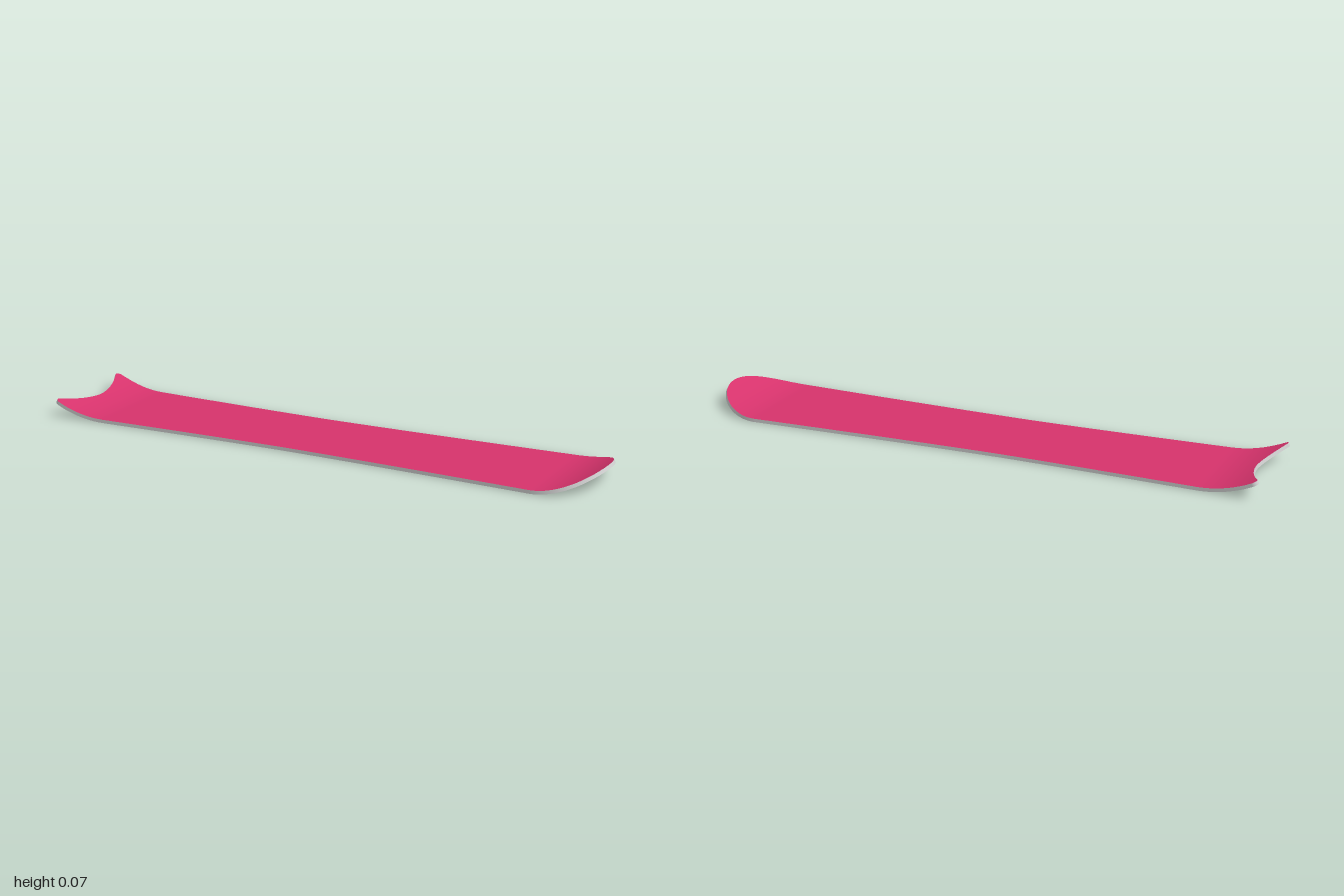
import * as THREE from 'three';

const ROWS = 96;                  // strips across the width
const TAIL = 10, MID = 28, NOSE = 10; // segments along the length
const COLS = TAIL + MID + NOSE;
const THICK = 0.012;

// Half width: narrow waist, widest at both ends
function halfWidth(x) {
  const t = Math.min(1, x > -0.1 ? (x + 0.1) / 0.9 : (-0.1 - x) / 0.85);
  return 0.175 + 0.025 * Math.pow(t, 1.4);
}

// Swallow-shaped tail end with rounded tips
function tailEnd(v) {
  const z = Math.abs(v) * 0.2;
  if (z < 0.177) return -0.944 - 0.054 * Math.pow(z / 0.177, 1.7);
  return -0.984 - Math.sqrt(Math.max(0, 0.016 ** 2 - (z - 0.184) ** 2));
}

// Height and slope of the base: flat centre, upturned ends
function rocker(x) {
  const s = x > 0.8 ? (x - 0.8) / 0.2 : x < -0.8 ? (x + 0.8) / 0.2 : 0;
  const rise = s > 0 ? 0.06 : 0.05;
  return { y: rise * s * s, slope: 2 * rise * s / 0.2 };
}

// Point on the board: column i from tail to nose, row j across, on base or deck
function boardPoint(i, j, offset) {
  const v = Math.sin((j / ROWS - 0.5) * Math.PI);
  let x;
  if (i <= TAIL) x = THREE.MathUtils.lerp(tailEnd(v), -0.8, i / TAIL);
  else if (i <= TAIL + MID) x = THREE.MathUtils.lerp(-0.8, 0.8, (i - TAIL) / MID);
  else x = 0.8 + 0.2 * Math.sqrt(Math.max(0, 1 - v * v)) * (i - TAIL - MID) / NOSE;
  const { y, slope } = rocker(x);
  const normal = new THREE.Vector3(-slope, 1, 0).normalize();
  const point = new THREE.Vector3(x, y, v * halfWidth(x)).addScaledVector(normal, offset);
  return { point, normal };
}

function makeGeometry(positions, index, normals) {
  const g = new THREE.BufferGeometry();
  g.setAttribute('position', new THREE.Float32BufferAttribute(positions, 3));
  g.setIndex(index);
  if (normals) g.setAttribute('normal', new THREE.Float32BufferAttribute(normals, 3));
  else g.computeVertexNormals();
  return g;
}

// Deck or base sheet
function sheet(offset, up) {
  const pos = [], nor = [], idx = [];
  for (let i = 0; i <= COLS; i++) {
    for (let j = 0; j <= ROWS; j++) {
      const { point, normal } = boardPoint(i, j, offset);
      pos.push(...point.toArray());
      nor.push(...normal.multiplyScalar(up ? 1 : -1).toArray());
      if (i === COLS || j === ROWS) continue;
      const a = i * (ROWS + 1) + j, b = a + 1, c = a + ROWS + 1, d = c + 1;
      if (up) idx.push(a, b, c, b, d, c);
      else idx.push(a, c, b, b, c, d);
    }
  }
  return makeGeometry(pos, idx, nor);
}

// Side wall running once around the outline
function sideWall() {
  const rim = [];
  const shoulder = TAIL + MID;
  for (let i = 0; i < shoulder; i++) rim.push([i, ROWS]);
  for (let j = ROWS; j > 0; j--) rim.push([COLS, j]);
  for (let i = shoulder; i > 0; i--) rim.push([i, 0]);
  for (let j = 0; j < ROWS; j++) rim.push([0, j]);
  const pos = [], idx = [];
  rim.forEach(([i, j], k) => {
    pos.push(...boardPoint(i, j, 0).point.toArray(), ...boardPoint(i, j, THICK).point.toArray());
    const a = 2 * k, b = 2 * ((k + 1) % rim.length);
    idx.push(a, b, a + 1, b, b + 1, a + 1);
  });
  return makeGeometry(pos, idx);
}

export function createModel() {
  const group = new THREE.Group();
  group.name = 'snowboard';
  const add = (name, geometry, color) => {
    const mesh = new THREE.Mesh(geometry, new THREE.MeshStandardMaterial({ color }));
    mesh.name = name;
    group.add(mesh);
  };
  add('deck', sheet(THICK, true), 0xd6336c);
  add('base', sheet(0, false), 0x222222);
  add('sideWall', sideWall(), 0xcccccc);
  return group;
}
